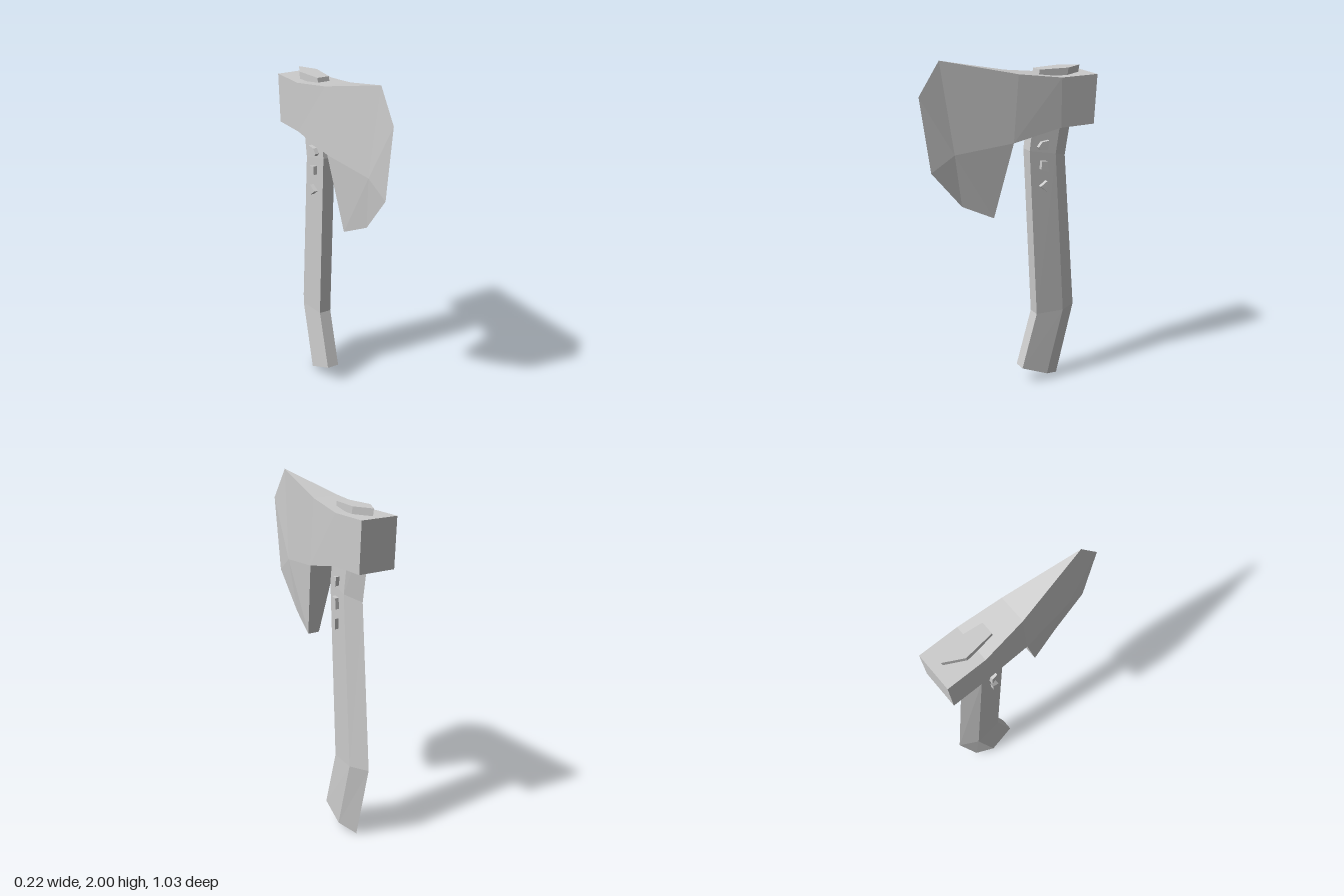
import * as THREE from 'three';

const material = new THREE.MeshStandardMaterial({ color: 0xcccccc, flatShading: true });

// Collects flat polygons (counter-clockwise from outside) into one mesh.
function polygonMesh(name, polygons) {
  const pos = [];
  for (const p of polygons) {
    for (let i = 1; i < p.length - 1; i++) pos.push(...p[0], ...p[i], ...p[i + 1]);
  }
  const geometry = new THREE.BufferGeometry();
  geometry.setAttribute('position', new THREE.Float32BufferAttribute(pos, 3));
  geometry.computeVertexNormals();
  const mesh = new THREE.Mesh(geometry, material);
  mesh.name = name;
  return mesh;
}

// Joins equal-sized rings and caps both ends.
function loft(name, rings) {
  const polygons = [[...rings[0]].reverse(), rings[rings.length - 1]];
  for (let r = 0; r < rings.length - 1; r++) {
    const a = rings[r], b = rings[r + 1];
    a.forEach((p, i) => {
      const j = (i + 1) % a.length;
      polygons.push([p, a[j], b[j]], [p, b[j], b[i]]);
    });
  }
  return polygonMesh(name, polygons);
}

// Five-sided handle: flat front, pointed back; each row is front, side, back as [z, y].
function createHandle() {
  const sections = [
    [[-0.09, 0.11], [-0.25, 0.045], [-0.35, 0.005]],
    [[-0.185, 0.45], [-0.355, 0.45], [-0.46, 0.45]],
    [[-0.127, 1.46], [-0.285, 1.43], [-0.38, 1.4]],
    [[-0.185, 1.91], [-0.358, 1.91], [-0.465, 1.91]],
  ];
  return loft('handle', sections.map(([f, m, b]) => [
    [0.036, f[1], f[0]],
    [0.056, m[1], m[0]],
    [0, b[1], b[0]],
    [-0.056, m[1], m[0]],
    [-0.036, f[1], f[0]],
  ]));
}

// Axe head: side profile with a half thickness at each corner.
function createHead() {
  const P = [ // [z, y, half thickness]
    [-0.515, 1.87, 0.11], // 0 poll top
    [-0.285, 1.87, 0.11], // 1
    [-0.03, 1.905, 0.08], // 2
    [0.4, 2.0, 0], //        3 blade toe
    [0.52, 1.82, 0], //      4
    [0.46, 1.4, 0], //       5
    [0.28, 1.185, 0], //     6
    [0.1, 1.1, 0.036], //    7 beard tip
    [0, 1.53, 0.083], //     8
    [-0.285, 1.59, 0.11], // 9
    [-0.5, 1.59, 0.11], //  10 poll bottom
    [0.33, 1.49, 0.024], // 11 cheek crease
  ];
  const at = (i, s) => [s * P[i][2], P[i][1], P[i][0]];
  const cheeks = [
    [0, 1, 9, 10], [1, 2, 8, 9], [2, 3, 11], [2, 11, 8], [8, 11, 7],
    [11, 3, 4], [11, 4, 5], [11, 5, 6], [11, 6, 7],
  ];
  const polygons = [];
  for (const c of cheeks) {
    polygons.push(c.map((i) => at(i, 1)));
    polygons.push([...c].reverse().map((i) => at(i, -1)));
  }
  // Rim between the two cheeks, narrowing to nothing along the cutting edge.
  for (let a = 0; a < 11; a++) {
    const b = (a + 1) % 11;
    const wa = P[a][2], wb = P[b][2];
    if (wa && wb) polygons.push([at(a, 1), at(a, -1), at(b, -1), at(b, 1)]);
    else if (wa) polygons.push([at(a, 1), at(a, -1), at(b, 1)]);
    else if (wb) polygons.push([at(a, 1), at(b, -1), at(b, 1)]);
  }
  return polygonMesh('axeHead', polygons);
}

// Small chipped studs on both sides of the handle, outlined as [z, y].
function createStuds() {
  const group = new THREE.Group();
  group.name = 'studs';
  const outlines = [
    [[-0.17, 1.48], [-0.19, 1.508], [-0.235, 1.515], [-0.225, 1.462], [-0.18, 1.465]],
    [[-0.19, 1.4], [-0.225, 1.395], [-0.23, 1.335], [-0.188, 1.35]],
    [[-0.185, 1.25], [-0.225, 1.28], [-0.222, 1.22]],
  ];
  for (const side of [1, -1]) {
    outlines.forEach((outline, i) => {
      const pts = side > 0 ? [...outline].reverse() : outline;
      const inner = pts.map(([z, y]) => [side * 0.03, y, z]);
      const outer = pts.map(([z, y]) => [side * (0.067 - 0.125 * (z + 0.2)), y, z]);
      group.add(loft((side > 0 ? 'leftStud' : 'rightStud') + (i + 1), [inner, outer]));
    });
  }
  return group;
}

export function createModel() {
  const model = new THREE.Group();
  model.name = 'axe';
  model.add(createHandle(), createHead(), createStuds());
  return model;
}
